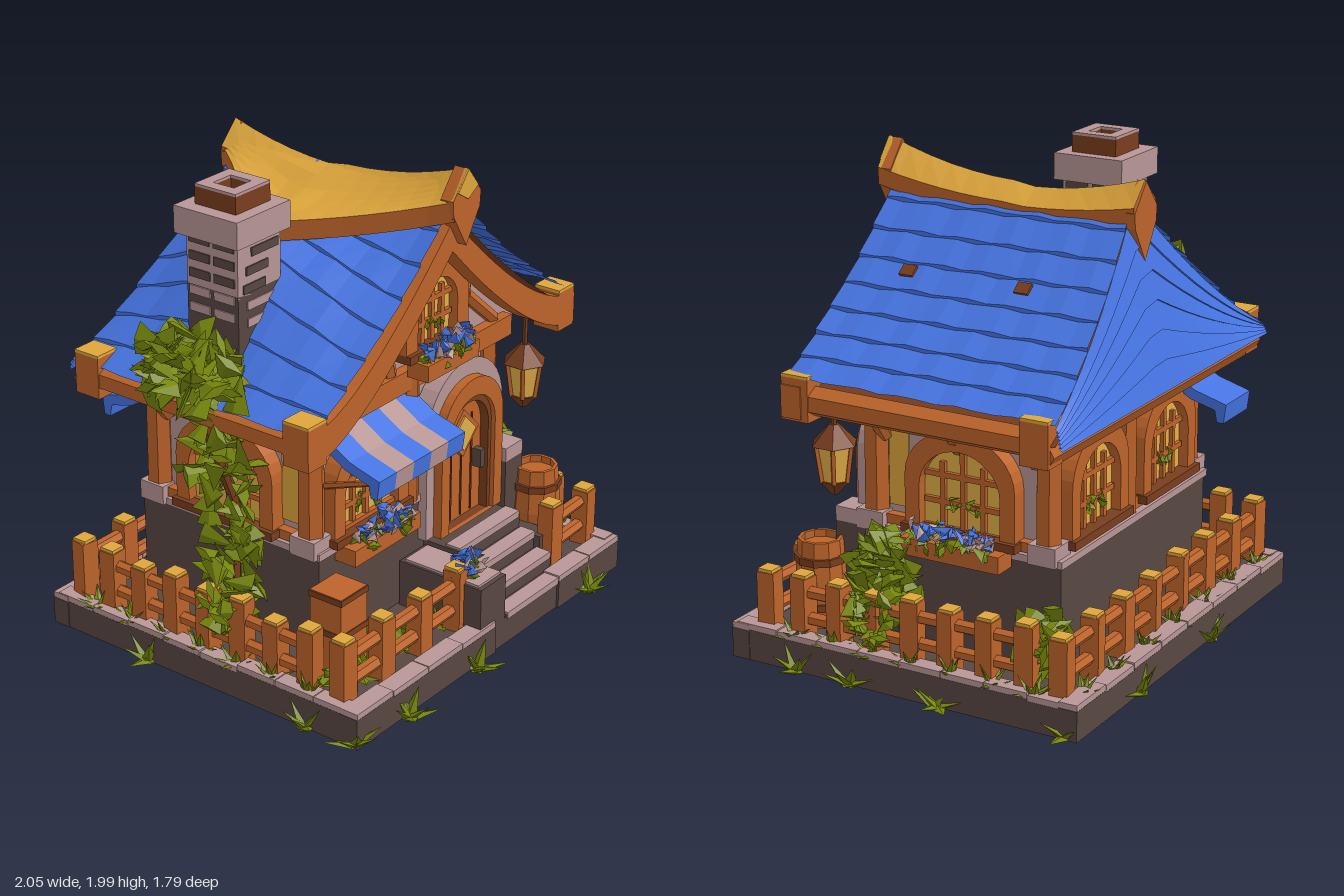
import * as THREE from 'three';
import { mergeGeometries } from 'three/addons/utils/BufferGeometryUtils.js';

const mat = (name, color, open = false) => {
  const m = new THREE.MeshStandardMaterial({ color, side: open ? THREE.DoubleSide : THREE.FrontSide });
  m.name = name;
  return m;
};
const blue = mat('roof blue', 0x4674e2, true), gold = mat('gold', 0xdfa63c, true);
const wood = mat('wood', 0xbe642a, true), brown = mat('dark wood', 0x7a3e1e, true);
const stone = mat('pale stone', 0xb89696, true), rock = mat('dark stone', 0x584742);
const leaf = mat('leaf green', 0x77870c), glow = mat('window glow', 0xe4b048);

let seed = 7;
const rnd = (a = 0, b = 1) => {
  seed = (seed * 16807) % 2147483647;
  return a + (b - a) * seed / 2147483647;
};
const flat = g => {
  const f = g.index ? g.toNonIndexed() : g;
  f.computeVertexNormals();
  return f;
};
const V = (x, y, z) => new THREE.Vector3(x, y, z);
const shapeOf = pts => new THREE.Shape(pts.map(p => new THREE.Vector2(...p)));

// Surface from a rule f(i, j) over whole-number steps
function grid(nu, nv, f) {
  const p = [];
  for (let i = 0; i < nu; i++) for (let j = 0; j < nv; j++) {
    const a = f(i, j), b = f(i + 1, j), c = f(i + 1, j + 1), d = f(i, j + 1);
    p.push(...a, ...b, ...c, ...a, ...c, ...d);
  }
  const g = new THREE.BufferGeometry();
  g.setAttribute('position', new THREE.Float32BufferAttribute(p, 3));
  return g;
}
// Arched outline standing on y = 0
function arch(w, h, path = new THREE.Shape()) {
  const r = Math.min(w / 2, h * 0.5);
  path.moveTo(-w / 2, 0).lineTo(w / 2, 0).lineTo(w / 2, h - r);
  path.absellipse(0, h - r, w / 2, r, 0, Math.PI, false, 0);
  path.closePath();
  return path;
}
const extrude = (s, depth) => new THREE.ExtrudeGeometry(s, { depth, bevelEnabled: false, curveSegments: 8 });

export function createModel() {
  const root = new THREE.Group();
  root.name = 'cottage';
  const add = (name, geo, m, x = 0, y = 0, z = 0, parent = root) => {
    const mesh = new THREE.Mesh(flat(geo), m);
    mesh.name = name;
    mesh.position.set(x, y, z);
    parent.add(mesh);
    return mesh;
  };
  const box = (name, m, w, h, d, x, y, z, parent) => add(name, new THREE.BoxGeometry(w, h, d), m, x, y, z, parent);
  // Rough round timber between two points
  const beam = (name, m, a, b, r, sides = 6) => {
    const dir = b.clone().sub(a);
    const mesh = add(name, new THREE.CylinderGeometry(r * 0.95, r, dir.length(), sides), m);
    mesh.position.copy(a).add(b).multiplyScalar(0.5);
    mesh.quaternion.setFromUnitVectors(V(0, 1, 0), dir.normalize());
  };
  // Cluster of pointed leaves filling an ellipsoid
  const foliage = (name, n, c, r, size, m = leaf, parent = root) => {
    const parts = [];
    for (let i = 0; i < n; i++) {
      const dir = V(rnd(-1, 1), rnd(-1, 1), rnd(-1, 1)).normalize();
      const g = new THREE.ConeGeometry(size * 0.45, size * rnd(0.8, 1.3), 4);
      g.scale(1, 1, 0.3).rotateX(rnd(-2, 2)).rotateY(rnd(0, 6)).rotateZ(rnd(-2, 2));
      g.translate(dir.x * r[0] * rnd(0.5, 1), dir.y * r[1] * rnd(0.5, 1), dir.z * r[2] * rnd(0.5, 1));
      parts.push(g);
    }
    add(name, mergeGeometries(parts), m, ...c, parent);
  };
  const tuft = (x, y, z, s) => {
    const parts = [];
    for (let i = 0; i < 8; i++) {
      const g = new THREE.ConeGeometry(s * 0.26, s, 4);
      parts.push(g.scale(1, 1, 0.4).translate(0, s / 2, 0).rotateX(rnd(0.3, 1.4)).rotateY(i * 0.79));
    }
    add('grassTuft', mergeGeometries(parts), leaf, x, y, z);
  };

  // Ground slab with a rim of capped stones
  box('groundSlab', rock, 1.78, 0.12, 1.54, 0, 0.08, -0.03);
  const rimStone = (x, z, w, d) => {
    const h = rnd(0.115, 0.13);
    box('rimStone', rock, w, h, d, x, 0.02 + h / 2, z);
    box('rimCap', stone, w * 0.98, 0.025, d * 0.98, x, 0.032 + h, z);
  };
  for (let i = 0; i < 8; i++) {
    const x = -0.79 + i * 0.2257, z = -0.69 + i * 0.189;
    rimStone(x, -0.77, 0.226, 0.08);
    if (i < 4 || i > 5) rimStone(x, 0.71, 0.226, 0.08);
    for (const s of [-1, 1]) rimStone(s * 0.865, z, 0.07, 0.189);
  }

  // Foundation, walls and gable
  box('foundation', rock, 1.2, 0.43, 0.9, 0, 0.345, -0.12);
  box('foundationCap', stone, 1.22, 0.03, 0.92, 0, 0.57, -0.12);
  box('walls', stone, 1.12, 0.58, 0.78, 0, 0.86, -0.11);
  const RX = 0.08, prof = d => 1.87 - 1.02 * d + 0.28 * d * d;
  const gable = new THREE.Shape(), peak = new THREE.Shape();
  gable.moveTo(-0.72, 1.13).lineTo(0.86, 1.13);
  peak.moveTo(RX - 0.3, 1.46).lineTo(RX + 0.3, 1.46);
  for (let i = 8; i >= -8; i--) {
    gable.lineTo(RX + i * 0.097, Math.max(1.13, prof(Math.abs(i) * 0.097) - 0.09));
    peak.lineTo(RX + i * 0.037, prof(Math.abs(i) * 0.037) - 0.1);
  }
  add('gableWall', extrude(gable, 0.05), stone, 0, 0, 0.25);
  add('gablePeak', extrude(peak, 0.02), brown, 0, 0, 0.29);
  for (const x of [-0.57, 0.57]) for (const z of [-0.5, 0.27]) {
    beam('cornerPost', wood, V(x, 0.58, z), V(x, 1.15, z), 0.055);
    box('postFoot', stone, 0.12, 0.08, 0.12, x, 0.6, z);
  }
  for (const z of [-0.52, 0.3]) {
    box('sillBeam', wood, 1.1, 0.05, 0.06, 0, 0.61, z);
    box('tieBeam', wood, 1.3, 0.09, 0.09, 0, 1.12, z);
  }
  for (const s of [-1, 1]) {
    box('sidePlate', wood, 0.08, 0.08, 0.8, s * 0.57, 1.1, -0.11);
    box('sideSill', wood, 0.06, 0.04, 0.74, s * 0.57, 0.61, -0.11);
    box('sidePanel', gold, 0.008, 0.34, 0.09, s * 0.565, 0.83, 0.17);
    for (const z of [-0.45, -0.11, 0.23])
      beam('eaveBracket', wood, V(s * 0.57, 0.94, z), V(s * 0.7, 1.11, z), 0.03);
    for (const x of [s * 0.57, 0])
      beam('backBracket', wood, V(x, 0.94, -0.5), V(x, 1.11, -0.62), 0.03);
    beam('gableBrace', wood, V(RX + s * 0.22, 1.17, 0.31), V(RX + s * 0.3, 1.5, 0.31), 0.035);
    beam('gableBrace', wood, V(RX + s * 0.28, 1.34, 0.31), V(RX + s * 0.48, 1.17, 0.31), 0.03);
    beam('gableCrown', wood, V(RX + s * 0.26, 1.46, 0.32), V(RX, 1.64, 0.32), 0.035);
  }
  for (const [x, z] of [[-0.01, 0.31], [0, -0.52]]) beam('middlePost', wood, V(x, 0.58, z), V(x, 1.12, z), 0.05);
  beam('kingPost', brown, V(RX, 1.52, 0.33), V(RX, 1.74, 0.33), 0.05);

  // Shingled roof: stepped rows on both slopes, the left one swelling towards the chimney
  const swell = (d, z) => 0.2 * Math.sin(Math.PI * Math.min(1, d / 0.9)) ** 2 * Math.max(0, 1 - Math.abs(z + 0.15) / 0.55);
  const roofY = (d, z, s) => prof(d) + (s < 0 ? swell(d, z) : 0);
  const backZ = y => -0.58 - (1.88 - y) * 0.2;
  for (const s of [-1, 1]) {
    const D = s < 0 ? 0.9 : 0.82, R = 8;
    const slope = (drop, lip) => grid(14, R * 2 - 1, (i, j) => {
      const d = D * (Math.floor(j / 2) + j % 2) / R;
      const z = THREE.MathUtils.lerp(0.46, backZ(prof(d)), i / 14);
      return [RX + s * d, roofY(d, z, s) - drop + (j % 2 ? lip : 0) + lip * 0.4 * Math.sin(i * 2.3 + Math.floor(j / 2) * 1.7), z];
    });
    add(s < 0 ? 'roofLeft' : 'roofRight', slope(0, 0.012), blue);
    add('roofUnderside', slope(0.07, 0), brown);
    const ex = RX + s * (D - 0.04);
    beam('eaveBeam', wood, V(ex, 1.14, 0.46), V(ex, 1.14, -0.66), 0.06);
    for (const z of [0.41, -0.63]) {
      box('eaveEnd', wood, 0.11, 0.17, 0.12, ex, 1.15, z);
      box('eaveEndCap', gold, 0.11, 0.012, 0.12, ex, 1.241, z);
    }
  }
  add('roofBack', grid(16, 11, (i, j) => {
    const x = -0.82 + 1.72 * i / 16, top = prof(Math.abs(x - RX));
    const y = THREE.MathUtils.lerp(1.14, top, (Math.floor(j / 2) + j % 2) / 6);
    return [x, y, backZ(y) - (j % 2 ? 0 : 0.012)];
  }), blue);
  beam('backEaveBeam', wood, V(-0.82, 1.11, -0.65), V(0.9, 1.11, -0.65), 0.06);
  box('soffit', brown, 1.6, 0.03, 0.9, 0.04, 1.14, -0.2);
  for (const z of [0.21, -0.3]) {
    const patch = box('missingShingle', brown, 0.05, 0.02, 0.06, 0.42, prof(0.34) + 0.008, z);
    patch.rotation.z = -0.69;
  }
  // Curved front bargeboard
  const rake = [], N = 12;
  for (let k = 0; k < 4 * N + 2; k++) {
    const low = k > 2 * N, d = ((low ? 4 * N + 1 - k : k) / N - 1) * 0.87, q = Math.abs(d);
    rake.push([RX - 0.03 + d, prof(q) - (low ? 0.21 : 0.08) + 0.09 * (q / 0.87) ** 5]);
  }
  add('bargeboard', extrude(shapeOf(rake), 0.09), wood, 0, 0, 0.38);

  // Sagging ridge: gold cap over a wooden beam
  const ridgeZ = i => 0.51 - 1.14 * i / 12;
  const ridgeY = z => 1.885 + 0.115 * ((z + 0.1) / 0.61) ** 2 - (z < -0.1 ? 0.015 : 0);
  const capDrop = z => 0.06 + (ridgeY(z) - 1.87) * 0.4;
  // Each point: sideways offset, share of the cap height, extra depth below it
  const ridge = pts => grid(12, pts.length - 1, (i, j) => {
    const z = ridgeZ(i), [x, k, low] = pts[j];
    return [RX + x, ridgeY(z) - k * capDrop(z) - low, z];
  });
  add('ridgeCap', ridge([[-0.09, 1, 0], [0, 0, 0], [0.09, 1, 0]]), gold);
  add('ridgeBeam', ridge([[0.09, 1, 0], [0.085, 1, 0.07], [0, 1, 0.15], [-0.085, 1, 0.07], [-0.09, 1, 0]]), wood);
  const end = [[0, 0], [-0.09, -0.11], [-0.085, -0.17], [0, -0.31], [0.085, -0.17], [0.09, -0.11]];
  add('ridgeFrontEnd', extrude(shapeOf(end), 0.06), wood, RX, 1.995, 0.45);
  add('ridgeFrontTip', extrude(shapeOf([[0, 0], [-0.065, -0.08], [0, -0.12], [0.065, -0.08]]), 0.006), gold, RX, 1.995, 0.51);
  add('ridgeBackEnd', extrude(shapeOf(end), 0.04), wood, RX, 1.95, -0.635);
  // Triangular saddle running from the ridge to the chimney
  const saddle = (i, j) => {
    const z = ridgeZ(i), t = Math.max(0, 1 - (z > -0.17 ? (z + 0.17) / 0.68 : (-0.17 - z) / 0.46));
    const k = Math.min(j, 6) / 6, x = RX + (-0.08 - 0.38 * t ** 1.15) * k;
    const line = ridgeY(z) - 0.005 - (capDrop(z) + 0.055 * t) * k - 0.04 * t * Math.sin(Math.PI * k);
    return [x, Math.max(line, roofY(RX - x, z, -1) + (k ? 0.035 : 0)) - (j > 6 ? 0.08 : 0), z];
  };
  add('saddle', grid(12, 6, saddle), gold);
  add('saddleEdge', grid(12, 1, (i, j) => saddle(i, j + 6)), wood);

  // Chimney: sooty lower stack, pale upper stack with dark bricks
  box('chimneyFoot', rock, 0.25, 0.4, 0.25, -0.53, 1.38, -0.13);
  box('chimneyStack', stone, 0.25, 0.24, 0.25, -0.53, 1.69, -0.13);
  for (let k = 0; k < 10; k++) {
    const s = k % 2 ? 1 : -1, row = Math.floor(k / 2), m = row < 2 ? stone : rock;
    const y = 1.46 + row * 0.07, o = rnd(-0.06, 0.06);
    box('brick', m, 0.11, 0.035, 0.262, -0.53 + o, y, -0.13);
    box('brick', m, 0.262, 0.035, 0.1, -0.53, y + 0.03, -0.13 + s * 0.06);
  }
  box('chimneyCollar', stone, 0.31, 0.11, 0.31, -0.535, 1.84, -0.13);
  for (const s of [-1, 1]) {
    box('chimneyRim', brown, 0.2, 0.08, 0.05, -0.53, 1.925, -0.13 + s * 0.075);
    box('chimneyRim', brown, 0.05, 0.08, 0.2, -0.53 + s * 0.075, 1.925, -0.13);
    box('chimneyRimCap', stone, 0.2, 0.012, 0.05, -0.53, 1.97, -0.13 + s * 0.075);
    box('chimneyRimCap', stone, 0.05, 0.012, 0.1, -0.53 + s * 0.075, 1.97, -0.13);
  }

  // Arched windows, optionally with a flower box
  const flowers = (w, x, y, z, parent) => {
    foliage('flowerLeaves', Math.round(w * 70), [x, y - 0.01, z], [w / 2, 0.035, 0.06], 0.07, leaf, parent);
    foliage('bluePetals', Math.round(w * 60), [x, y + 0.025, z + 0.02], [w / 2, 0.02, 0.06], 0.06, blue, parent);
    foliage('palePetals', Math.round(w * 30), [x, y + 0.025, z + 0.03], [w / 2, 0.02, 0.06], 0.055, stone, parent);
  };
  const windowAt = (x, y, z, ry, w, h, planter, rim = 0.13) => {
    const g = new THREE.Group();
    g.name = 'window';
    g.position.set(x, y, z);
    g.rotation.y = ry;
    const frame = arch(w + rim, h + rim * 0.6);
    frame.holes.push(arch(w, h, new THREE.Path()));
    add('windowFrame', extrude(frame, 0.07), wood, 0, 0, 0, g);
    add('windowGlass', extrude(arch(w, h), 0.008), glow, 0, 0, 0.02, g);
    for (const k of [-1, 0, 1]) box('mullion', wood, 0.022, h * (k ? 0.82 : 0.98), 0.02, k * w * 0.25, h * (k ? 0.41 : 0.49), 0.035, g);
    for (const k of [0.33, 0.66]) box('crossbar', wood, w * 0.95, 0.022, 0.02, 0, h * k, 0.035, g);
    for (const k of [-1, 1]) foliage('windowPlant', 5, [k * w * 0.13, h * 0.3, 0.04], [0.03, 0.04, 0.005], 0.045, leaf, g);
    box('windowSill', brown, w + 0.15, 0.035, 0.1, 0, -0.01, 0.04, g);
    if (planter) {
      box('flowerBox', wood, w + 0.08, 0.07, 0.1, 0, -0.06, 0.1, g);
      flowers(w + 0.1, 0, -0.01, 0.11, g);
    }
    root.add(g);
  };
  windowAt(-0.29, 0.61, 0.28, 0, 0.34, 0.32, true);
  windowAt(0.1, 1.24, 0.3, 0, 0.26, 0.27, true, 0.15);
  windowAt(0.56, 0.62, -0.14, Math.PI / 2, 0.36, 0.33, true);
  windowAt(-0.56, 0.62, -0.12, -Math.PI / 2, 0.36, 0.33, false);
  for (const x of [-0.29, 0.29]) windowAt(x, 0.63, -0.5, Math.PI, 0.32, 0.33, false);

  // Striped awning in front, small plain one behind: a folded sheet seen in profile
  const sheet = [[0.29, 1.08], [0.44, 0.99], [0.58, 0.95], [0.57, 0.87], [0.54, 0.87], [0.53, 0.92], [0.42, 0.95], [0.29, 1.03]];
  const awning = (x0, w, m, s, dz, dy) => {
    const g = extrude(shapeOf(sheet.map(([z, y]) => [s * z, y])), w).rotateY(-Math.PI / 2);
    add('awningStripe', g, m, x0 + w, dy, dz);
  };
  for (let i = 0; i < 5; i++) awning(-0.55 + i * 0.11, 0.11, i % 2 ? stone : blue, 1, 0, 0);
  awning(-0.62, 0.22, blue, -1, -0.18, 0);
  for (const x of [-0.53, -0.02]) beam('awningStrut', wood, V(x, 0.84, 0.3), V(x, 0.92, 0.52), 0.014, 5);

  // Door in a stone arch
  const ring = (name, m, w, h, iw, ih, depth) => {
    const s = arch(w, h);
    s.holes.push(arch(iw, ih, new THREE.Path()));
    add(name, extrude(s, depth), m, 0.3, 0.38, 0.29);
  };
  ring('doorStones', stone, 0.52, 0.71, 0.42, 0.64, 0.08);
  ring('doorFrame', wood, 0.42, 0.64, 0.31, 0.56, 0.12);
  ring('doorJamb', brown, 0.31, 0.56, 0.27, 0.53, 0.1);
  add('door', extrude(arch(0.29, 0.54), 0.05), wood, 0.3, 0.38, 0.3);
  for (const k of [-1, 0, 1]) box('plankSeam', brown, 0.008, 0.44, 0.008, 0.3 + k * 0.07, 0.61, 0.351);
  box('doorLightFrame', wood, 0.15, 0.15, 0.02, 0.29, 0.77, 0.36).rotation.z = Math.PI / 4;
  box('doorLight', glow, 0.11, 0.11, 0.008, 0.29, 0.77, 0.373).rotation.z = Math.PI / 4;
  box('doorHandle', rock, 0.03, 0.08, 0.04, 0.4, 0.62, 0.37);

  // Steps and cheek walls
  [0.36, 0.29, 0.22, 0.15].forEach((y, i) => {
    const z1 = 0.5 + i * 0.08;
    box('step', rock, 0.44, y - 0.02, z1 - 0.3, 0.3, (y + 0.02) / 2, (z1 + 0.3) / 2);
    box('stepTread', stone, 0.42, 0.03, 0.07, 0.3, y - 0.005, z1 - 0.03);
  });
  box('cheekWall', rock, 0.17, 0.32, 0.4, -0.01, 0.18, 0.54);
  box('cheekCap', stone, 0.15, 0.012, 0.36, -0.01, 0.345, 0.54);
  box('cheekWall', rock, 0.08, 0.26, 0.3, 0.55, 0.15, 0.46);
  box('doorPier', rock, 0.12, 0.34, 0.14, 0.57, 0.4, 0.36);
  box('doorPierCap', stone, 0.12, 0.06, 0.14, 0.57, 0.6, 0.36);
  flowers(0.2, -0.03, 0.39, 0.62, root);

  // Fences
  const fence = (a, b, n) => {
    for (let i = 0; i < n; i++) {
      const p = a.clone().lerp(b, i / (n - 1)), h = rnd(0.24, 0.29);
      box('fencePost', wood, 0.075, h, 0.075, p.x, 0.13 + h / 2, p.z).rotation.y = rnd(-0.2, 0.2);
      box('fencePostCap', gold, 0.065, 0.015, 0.065, p.x, 0.136 + h, p.z);
    }
    for (const y of [0.22, 0.33]) beam('fenceRail', wood, V(a.x, y, a.z), V(b.x, y + 0.01, b.z), 0.028);
  };
  fence(V(-0.82, 0, 0.62), V(-0.1, 0, 0.62), 4);
  fence(V(0.57, 0, 0.62), V(0.82, 0, 0.62), 2);
  fence(V(0.82, 0, 0.46), V(0.82, 0, -0.55), 7);
  fence(V(-0.82, 0, 0.46), V(-0.82, 0, -0.55), 7);
  fence(V(-0.82, 0, -0.7), V(0.82, 0, -0.7), 8);

  // Barrel, crate and lantern
  const barrel = [[0, 0], [0.085, 0], [0.105, 0.17], [0.09, 0.36], [0.075, 0.36], [0.075, 0.33], [0, 0.33]];
  add('barrel', new THREE.LatheGeometry(barrel.map(p => new THREE.Vector2(...p)), 10), wood, 0.68, 0.15, 0.47);
  for (const y of [0.24, 0.43]) add('barrelHoop', new THREE.CylinderGeometry(0.107, 0.107, 0.03, 10), brown, 0.68, y, 0.47);
  box('crate', wood, 0.16, 0.39, 0.15, -0.67, 0.33, 0.48);
  for (const y of [0.36, 0.51]) box('crateSlat', brown, 0.168, 0.025, 0.158, -0.67, y, 0.48);
  const lathe = (name, m, rt, rb, h, y) => add(name, new THREE.CylinderGeometry(rt, rb, h, 6), m, 0.73, y, 0.36);
  lathe('lanternHook', brown, 0.012, 0.012, 0.14, 1.06);
  lathe('lanternRoof', brown, 0.02, 0.095, 0.08, 0.97);
  lathe('lanternGlass', glow, 0.075, 0.055, 0.15, 0.855);
  lathe('lanternBase', brown, 0.065, 0.015, 0.06, 0.755);
  for (let i = 0; i < 6; i++) {
    const c = Math.sin(i * Math.PI / 3), s = Math.cos(i * Math.PI / 3);
    beam('lanternRib', wood, V(0.73 + c * 0.056, 0.78, 0.36 + s * 0.056), V(0.73 + c * 0.078, 0.93, 0.36 + s * 0.078), 0.011, 4);
  }

  // Climbing ivy, shrubs and grass
  beam('ivyStem', brown, V(-0.74, 0.13, 0.02), V(-0.7, 0.75, 0), 0.025);
  beam('ivyStem', brown, V(-0.7, 0.75, 0), V(-0.86, 1.3, -0.08), 0.022);
  foliage('ivyCrown', 110, [-0.8, 1.31, -0.12], [0.15, 0.15, 0.24], 0.15);
  foliage('ivyMiddle', 50, [-0.76, 0.95, -0.02], [0.1, 0.27, 0.15], 0.12);
  foliage('ivyFoot', 60, [-0.78, 0.46, 0.04], [0.12, 0.27, 0.14], 0.12);
  foliage('sideShrub', 90, [0.74, 0.43, 0.14], [0.1, 0.22, 0.14], 0.12);
  foliage('sideShrubFoot', 30, [0.86, 0.3, 0.12], [0.05, 0.13, 0.11], 0.1);
  foliage('cornerShrub', 40, [0.72, 0.3, -0.56], [0.12, 0.14, 0.1], 0.11);
  for (const x of [-0.68, -0.4]) foliage('frontShrub', 26, [x, 0.2, 0.53], [0.14, 0.04, 0.07], 0.1);
  for (const [x, z] of [[-0.6, 0.77], [-0.15, 0.77], [0.65, 0.77], [-0.2, -0.81], [0.4, -0.81], [0.9, 0.45], [0.9, -0.2], [0.9, 0.2], [-0.9, 0.5], [-0.9, -0.3], [0.88, -0.75], [-0.88, 0.72]]) tuft(x, 0.02, z, 0.13);
  for (let i = 0; i < 7; i++) {
    tuft(-0.72 + i * 0.1, 0.13, rnd(0.5, 0.57), 0.1);
    tuft(-0.75 + i * 0.25, 0.14, -0.75, 0.09);
    for (const s of [-1, 1]) tuft(s * 0.86, 0.14, -0.6 + i * 0.18, 0.1);
  }
  return root;
}
